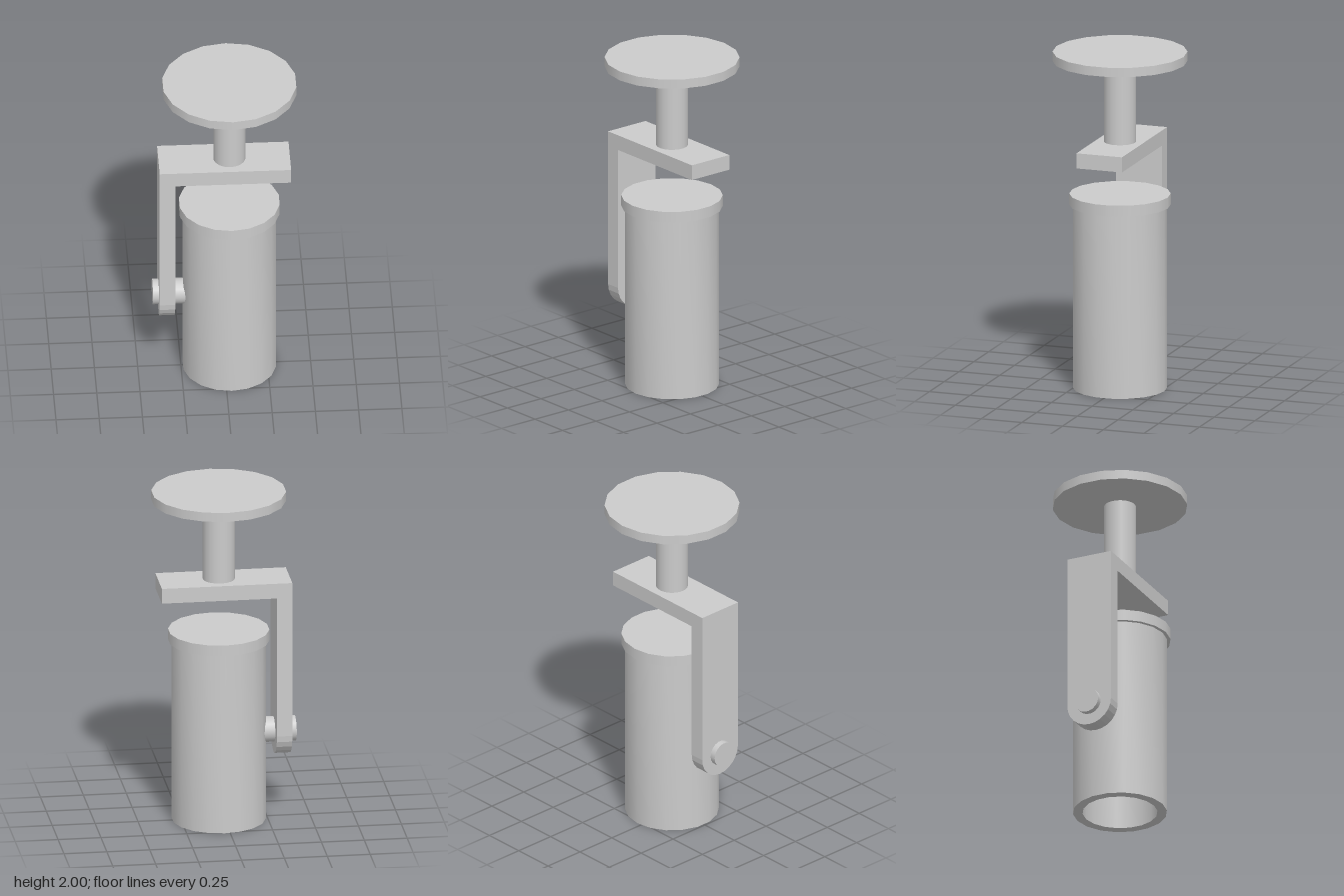
import * as THREE from 'three';
import { toCreasedNormals } from 'three/addons/utils/BufferGeometryUtils.js';

const SIDES = 18;
const AXIS_X = 0.03; // shared axis of the disc, stem and barrel

export function createModel() {
  const model = new THREE.Group();
  const material = new THREE.MeshStandardMaterial({ color: 0xcccccc });

  function add(name, geometry, x = 0, y = 0, z = 0) {
    const mesh = new THREE.Mesh(geometry, material);
    mesh.name = name;
    mesh.position.set(x, y, z);
    model.add(mesh);
  }
  // Upright cylinder on the shared axis, from y0 to y1
  function disc(name, radius, y0, y1) {
    add(name, new THREE.CylinderGeometry(radius, radius, y1 - y0, SIDES), AXIS_X, (y0 + y1) / 2);
  }

  // Ceiling mount
  disc('mountingPlate', 0.39, 1.945, 2);
  disc('stem', 0.093, 1.465, 1.945);

  // Bracket: horizontal bar and a leg with a rounded lower end
  add('bracketBar', new THREE.BoxGeometry(0.67, 0.09, 0.28), 0.045, 1.42);
  const leg = new THREE.Shape();
  leg.moveTo(0.14, 1.465);
  leg.lineTo(-0.14, 1.465);
  leg.lineTo(-0.14, 0.53);
  leg.absarc(0, 0.53, 0.14, Math.PI, Math.PI * 2, false);
  leg.closePath();
  const legGeometry = new THREE.ExtrudeGeometry(leg, { depth: 0.09, bevelEnabled: false, curveSegments: 6 });
  legGeometry.rotateY(-Math.PI / 2);
  add('bracketLeg', legGeometry, -0.29);

  // Pivot pin through the leg into the barrel
  const pin = new THREE.CylinderGeometry(0.075, 0.075, 0.2, SIDES);
  pin.rotateZ(Math.PI / 2);
  add('pivotPin', pin, -0.315, 0.53);

  // Hollow barrel, open at the bottom, closed by the cap
  const profile = [[0.217, 1.09], [0.217, 0], [0.272, 0], [0.272, 1.09]]
    .map(([r, y]) => new THREE.Vector2(r, y));
  add('barrel', toCreasedNormals(new THREE.LatheGeometry(profile, SIDES), 0.5), AXIS_X);
  disc('barrelCap', 0.293, 1.09, 1.155);

  return model;
}
